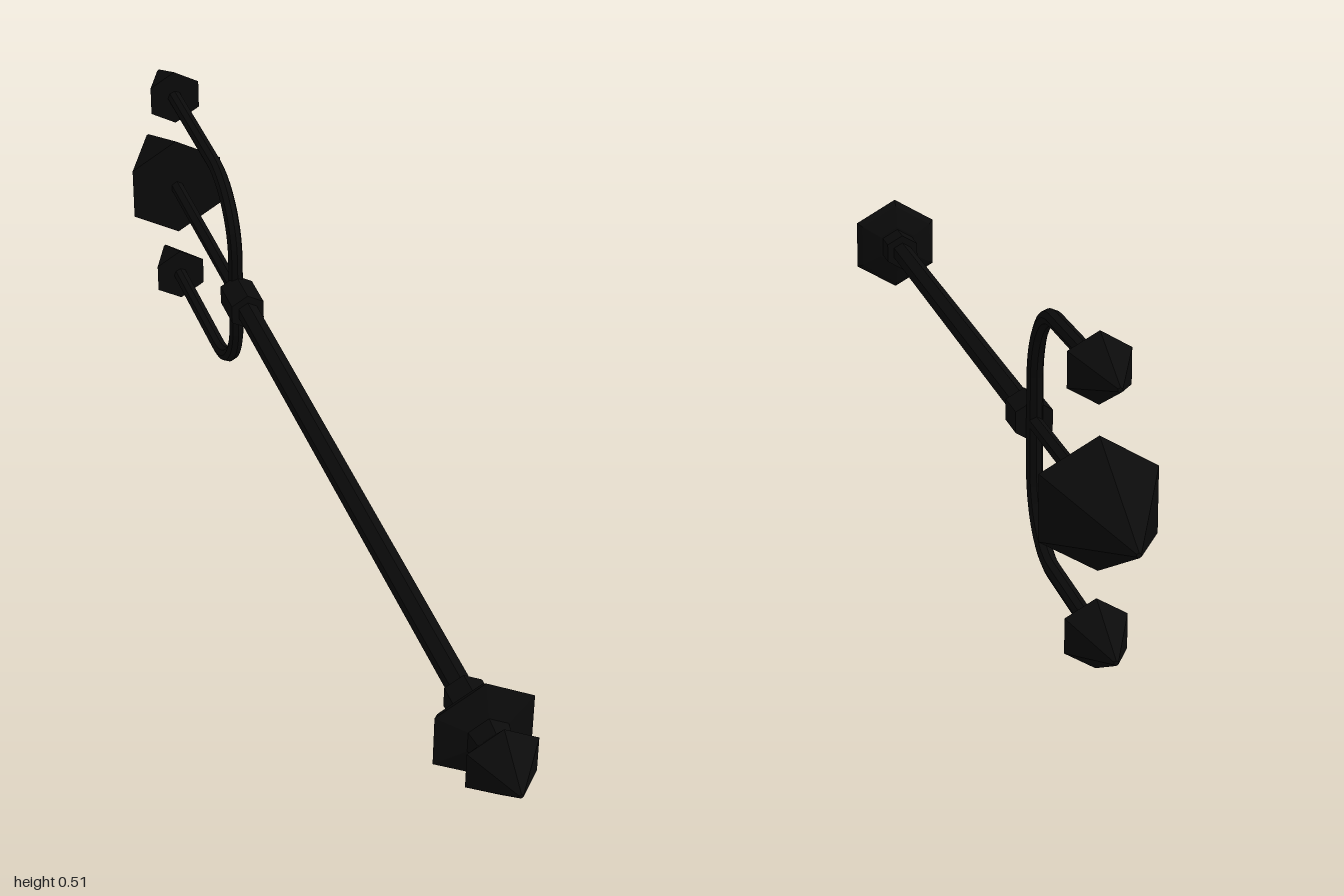
import * as THREE from 'three';

const AXIS_Y = 0.2575;

export function createModel() {
  const black = new THREE.MeshStandardMaterial({ color: 0x0b0b0b });
  black.name = 'black';
  black.flatShading = true;

  const model = new THREE.Group();
  model.name = 'trident';

  // Six-sided turned part along z; profile is [radius, z] with z increasing
  function turned(name, profile, y = AXIS_Y) {
    const pts = profile.map(([r, z]) => new THREE.Vector2(r, z));
    const geo = new THREE.LatheGeometry(pts, 6);
    geo.rotateX(Math.PI / 2);
    const mesh = new THREE.Mesh(geo, black);
    mesh.name = name;
    mesh.position.y = y;
    model.add(mesh);
  }
  const rod = (name, r, z0, z1) => turned(name, [[0, z0], [r, z0], [r, z1], [0, z1]]);
  const arrow = (name, r, tip, base, y) =>
    turned(name, [[0, tip], [0.004, tip], [r, base], [0, base]], y);

  // Handle and its collars
  rod('shaft', 0.02, -0.33, 0.8);
  rod('forkCollar', 0.035, -0.385, -0.313);
  rod('pommelCollar', 0.035, 0.77, 0.835);

  // Pommel: flared ring and pointed end
  turned('pommel', [
    [0, 0.825], [0.04, 0.828], [0.08, 0.842], [0.091, 0.855], [0.037, 0.872],
    [0.032, 0.9], [0.065, 0.927], [0.004, 1], [0, 1],
  ]);

  // Central prong
  rod('centerProng', 0.0125, -0.8, -0.37);
  arrow('centerPoint', 0.103, -1, -0.785, AXIS_Y);

  // U-shaped fork in the upright plane
  const v = (y, z) => new THREE.Vector3(0, y, z);
  const top = 0.2025, back = -0.388, bend = 0.13, k = bend * 0.45;
  const path = new THREE.CurvePath();
  path.add(new THREE.LineCurve3(v(top, -0.79), v(top, back - bend)));
  path.add(new THREE.CubicBezierCurve3(
    v(top, back - bend), v(top, back - k), v(top - k, back), v(top - bend, back)));
  path.add(new THREE.LineCurve3(v(top - bend, back), v(bend - top, back)));
  path.add(new THREE.CubicBezierCurve3(
    v(bend - top, back), v(k - top, back), v(-top, back - k), v(-top, back - bend)));
  path.add(new THREE.LineCurve3(v(-top, back - bend), v(-top, -0.79)));
  const fork = new THREE.Mesh(new THREE.TubeGeometry(path, 72, 0.0138, 8), black);
  fork.name = 'fork';
  fork.position.y = AXIS_Y;
  model.add(fork);

  // Outer points
  arrow('upperPoint', 0.055, -0.893, -0.78, AXIS_Y + top);
  arrow('lowerPoint', 0.055, -0.893, -0.78, AXIS_Y - top);

  return model;
}
